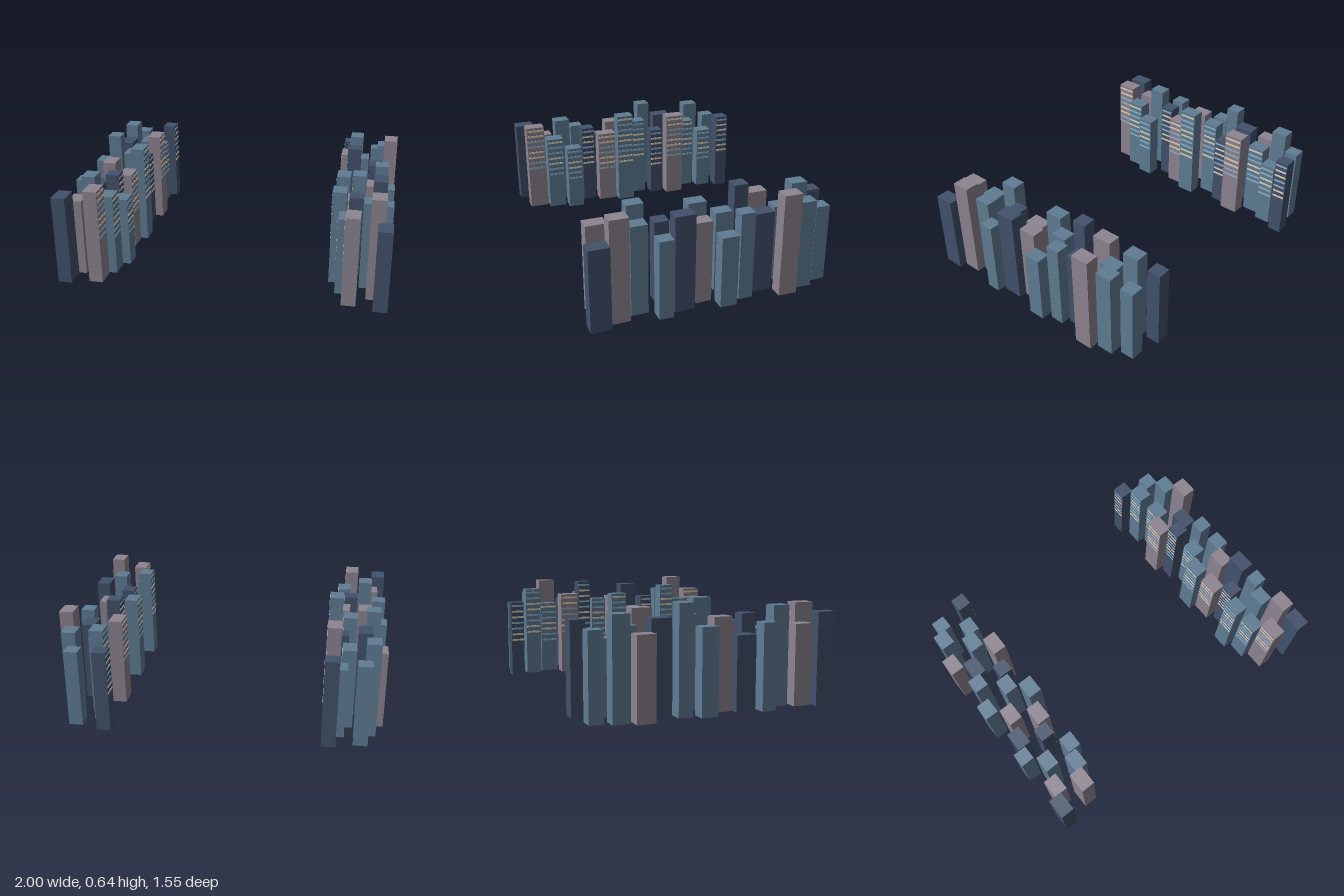
import * as THREE from 'three';

const mat = (name, color) => {
  const m = new THREE.MeshStandardMaterial({ color });
  m.name = name;
  return m;
};

export function createModel() {
  const model = new THREE.Group();
  model.name = 'towerBlocks';

  const navy = mat('navy', 0x42516b);
  const blue = mat('steelBlue', 0x5f7d93);
  const mauve = mat('mauveGrey', 0x8d8490);
  const cream = mat('creamWindow', 0xe0d2b8);
  const sky = mat('skyWindow', 0x8db4d0);

  const walls = [navy, blue, blue, mauve];
  const depths = [0.088, 0.104, 0.114, 0.124];
  const heights = [0.49, 0.56, 0.643, 0.51, 0.55, 0.445, 0.515, 0.6];
  const width = 0.086;

  const box = (parent, name, w, h, d, x, y, z, material) => {
    const mesh = new THREE.Mesh(new THREE.BoxGeometry(w, h, d), material);
    mesh.name = name;
    mesh.position.set(x, y, z);
    parent.add(mesh);
  };

  // Staggered rows of towers; each row has its own offset into the height and colour cycles
  const rows = [
    { name: 'innerRow', xs: [0.677, 0.724, 0.772], z0: -0.734, paint: 0, shift: { 1: 6, '-1': 4 }, lit: true },
    { name: 'outerRow', xs: [0.864, 0.911, 0.957], z0: -0.695, paint: 1, shift: { 1: 0, '-1': 6 }, lit: false },
  ];

  for (const side of [1, -1]) {
    for (const row of rows) {
      const group = new THREE.Group();
      group.name = (side > 0 ? 'left' : 'right') + row.name[0].toUpperCase() + row.name.slice(1);
      model.add(group);
      for (let i = 0; i < 12; i++) {
        const h = heights[(i + row.shift[side]) % 8];
        const d = depths[i % 4];
        const x = side * row.xs[i % 3];
        const z = row.z0 + i * 0.1273;
        box(group, 'tower', width, h, d, x, h / 2, z, walls[(i + row.paint) % 4]);

        // Window bands on the upper half of the face toward the centre
        if (!row.lit) continue;
        for (let k = 0, y = h - 0.024; y > h * 0.46; k++, y -= 0.04) {
          const glass = (i - k + 16) % 4 >= 2 ? cream : sky;
          box(group, 'windowBand', 0.003, 0.013, d * 0.92, x - side * (width / 2 + 0.0005), y, z, glass);
        }
      }
    }
  }
  return model;
}
